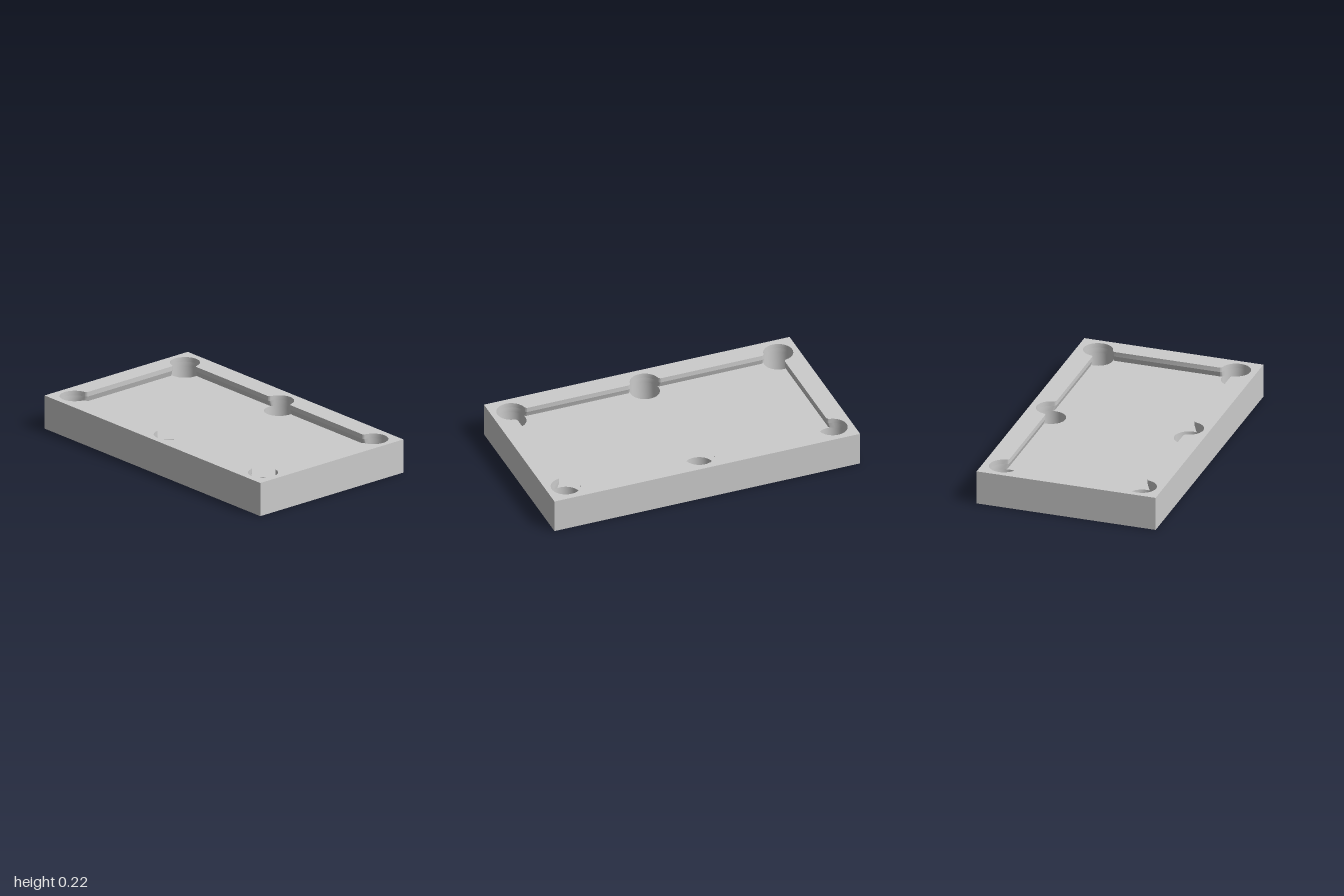
import * as THREE from 'three';
import { toCreasedNormals } from 'three/addons/utils/BufferGeometryUtils.js';

const W = 0.575, L = 1, H = 0.215, FLOOR = 0.15, LIP = 0.185;
const X = 0.443, Z = 0.873, R = 0.092, JAW = 0.02;
const rad = THREE.MathUtils.degToRad;

// pockets in order around the table: x, z, start and end angle of the outer arc
const pockets = [
  [X, Z, -90, 180], [-X, Z, 0, 270], [-X, 0, 90, 270],
  [-X, -Z, 90, 360], [X, -Z, 180, 450], [X, 0, -90, 90],
];

function arc(out, cx, cy, r, from, to, n) {
  for (let i = 0; i <= n; i++) {
    const t = from + (to - from) * i / n;
    out.push(new THREE.Vector2(cx + r * Math.cos(t), cy + r * Math.sin(t)));
  }
}

// cushion edge running round the pockets with rounded jaws; d sets the edge outward
function railOutline(d) {
  const pts = [];
  const a = Math.asin((JAW + d) / (R + JAW)), q = R + JAW;
  for (const [x, z, s0, e0] of pockets) {
    const s = rad(s0), e = rad(e0);
    arc(pts, x + q * Math.cos(s + a), z + q * Math.sin(s + a), JAW, s - Math.PI / 2, s + a - Math.PI, 5);
    arc(pts, x, z, R, s + a, e - a, e0 - s0 > 200 ? 18 : 12);
    arc(pts, x + q * Math.cos(e - a), z + q * Math.sin(e - a), JAW, e - a + Math.PI, e + Math.PI / 2, 5);
  }
  return pts;
}

// wall between two matching loops at two heights
function wall(top, yTop, bottom, yBottom) {
  const pos = [];
  const put = (p, y) => pos.push(p.x, y, p.y);
  top.forEach((p, i) => {
    const j = (i + 1) % top.length;
    put(p, yTop); put(bottom[i], yBottom); put(top[j], yTop);
    put(top[j], yTop); put(bottom[i], yBottom); put(bottom[j], yBottom);
  });
  const geo = new THREE.BufferGeometry();
  geo.setAttribute('position', new THREE.Float32BufferAttribute(pos, 3));
  geo.computeVertexNormals();
  return toCreasedNormals(geo, 0.6);
}

const rectangle = () => [[-W, -L], [W, -L], [W, L], [-W, L]].map(([x, y]) => new THREE.Vector2(x, y));

export function createModel() {
  const group = new THREE.Group();
  const material = new THREE.MeshStandardMaterial({ color: 0xcccccc });
  const add = (name, geo, parent = group) => {
    const mesh = new THREE.Mesh(geo, material);
    mesh.name = name;
    parent.add(mesh);
  };

  // bed slab with six through holes
  const bedShape = new THREE.Shape(rectangle());
  for (const [x, z] of pockets) bedShape.holes.push(new THREE.Path().absarc(x, z, R, 0, Math.PI * 2, true));
  const bed = new THREE.ExtrudeGeometry(bedShape, { depth: FLOOR, bevelEnabled: false, curveSegments: 24 });
  bed.rotateX(-Math.PI / 2);
  add('bed', toCreasedNormals(bed, 0.6));

  // raised rail frame with an undercut cushion
  const rail = new THREE.Group();
  rail.name = 'rail';
  group.add(rail);
  const nose = railOutline(0), foot = railOutline(0.012);
  const topShape = new THREE.Shape(rectangle());
  topShape.holes.push(new THREE.Path(nose));
  const top = new THREE.ShapeGeometry(topShape);
  top.rotateX(-Math.PI / 2).translate(0, H, 0);
  add('railTop', top, rail);
  add('cushionNose', wall(nose, H, nose, LIP), rail);
  add('cushionUndercut', wall(nose, LIP, foot, FLOOR), rail);
  const outer = rectangle().reverse();
  add('railOuterSides', wall(outer, H, outer, FLOOR), rail);

  return group;
}
